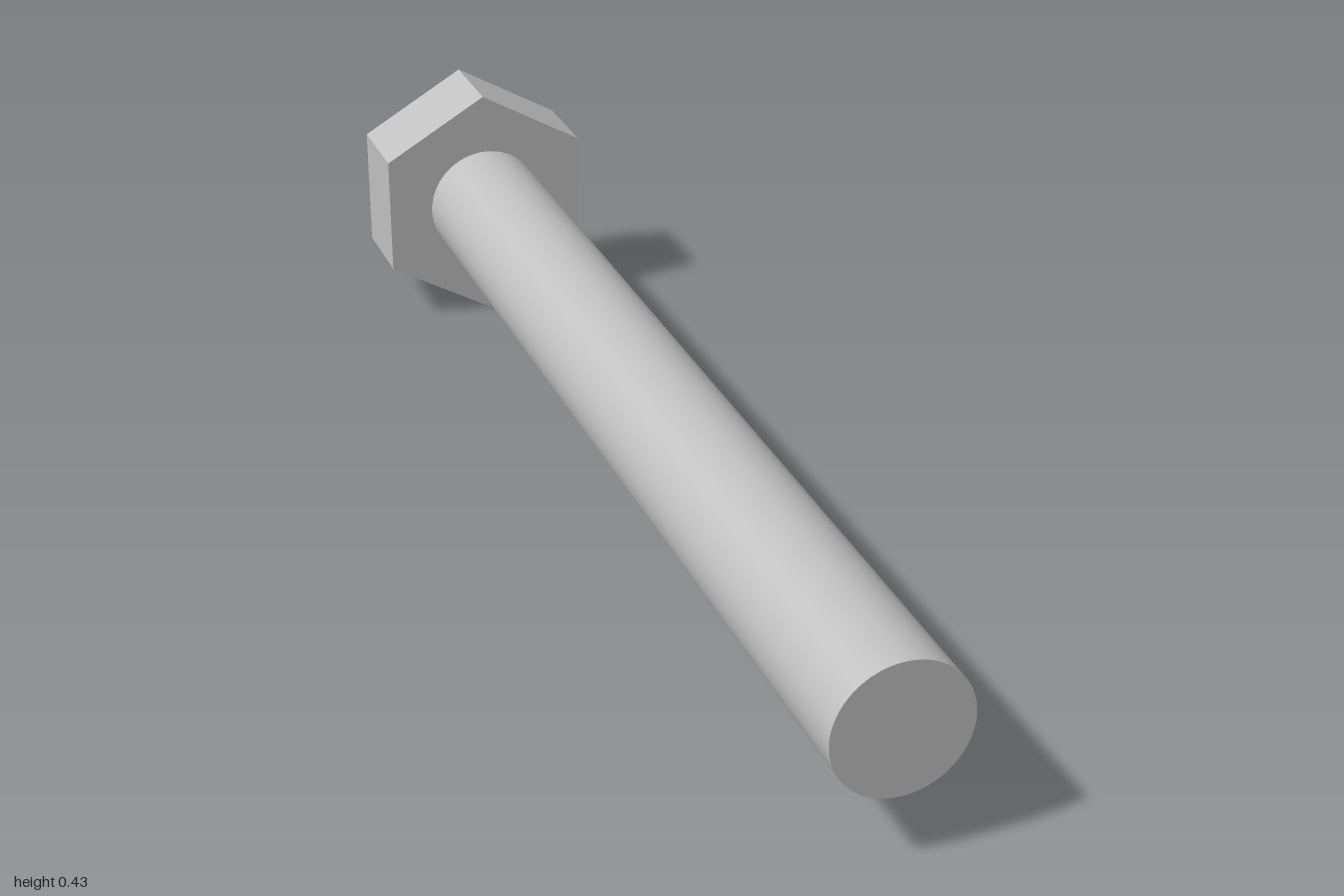
import * as THREE from 'three';

const HEAD_RADIUS = 0.2135;   // centre to hexagon corner
const SHANK_RADIUS = 0.105;
const BACK = -1, HEAD_FRONT = -0.843, TIP = 1;

// Cylinder or prism lying along z between two depths
function rod(radius, z0, z1, sides) {
  const geometry = new THREE.CylinderGeometry(radius, radius, z1 - z0, sides);
  geometry.rotateX(Math.PI / 2);
  geometry.translate(0, HEAD_RADIUS, (z0 + z1) / 2);
  return geometry;
}

export function createModel() {
  const steel = new THREE.MeshStandardMaterial({ color: 0xc0c0c0 });
  steel.name = 'steel';

  const bolt = new THREE.Group();
  bolt.name = 'hexBolt';

  // Hexagonal head with a corner up, flat faceted sides
  const headGeometry = rod(HEAD_RADIUS, BACK, HEAD_FRONT, 6).toNonIndexed();
  headGeometry.computeVertexNormals();
  const head = new THREE.Mesh(headGeometry, steel);
  head.name = 'head';

  // Smooth round shank
  const shank = new THREE.Mesh(rod(SHANK_RADIUS, HEAD_FRONT, TIP, 64), steel);
  shank.name = 'shank';

  bolt.add(head, shank);
  return bolt;
}
